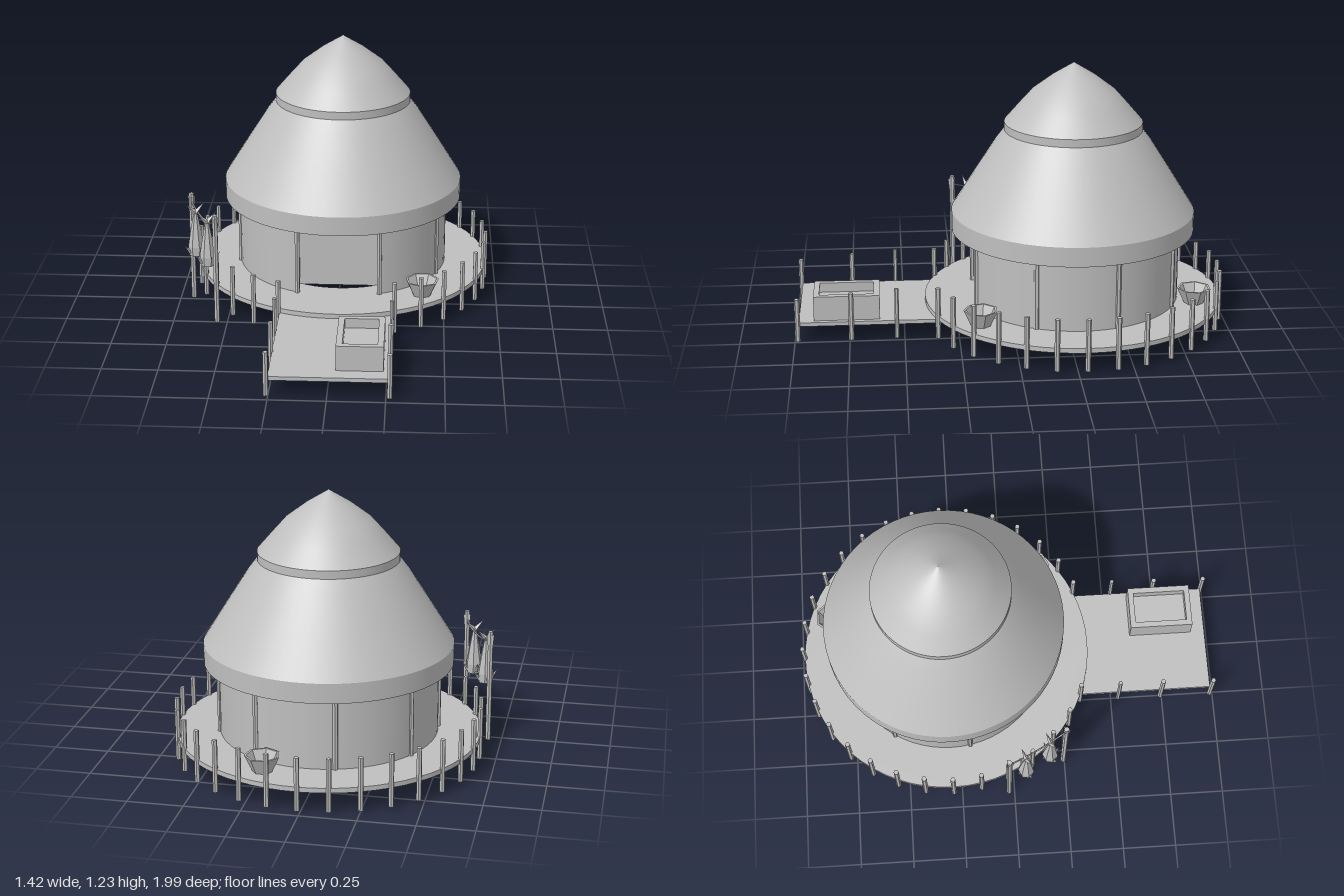
import * as THREE from 'three';

export function createModel() {
  const model = new THREE.Group();
  const grey = new THREE.MeshStandardMaterial({ color: 0xbfbfbf, side: THREE.DoubleSide });
  grey.name = 'plainGrey';

  const add = (name, geo, x = 0, y = 0, z = 0, parent = model) => {
    const mesh = new THREE.Mesh(geo, grey);
    mesh.name = name;
    mesh.position.set(x, y, z);
    parent.add(mesh);
    return mesh;
  };
  const facet = (geo) => {
    const g = geo.index ? geo.toNonIndexed() : geo;
    g.computeVertexNormals();
    return g;
  };
  const lathe = (pts, seg = 64, start = 0, len = Math.PI * 2) =>
    new THREE.LatheGeometry(pts.map(([r, y]) => new THREE.Vector2(r, y)), seg, start, len);
  const post = (name, x, z, y0, y1, r, parent) =>
    add(name, facet(new THREE.CylinderGeometry(r, r, y1 - y0, 6)), x, (y0 + y1) / 2, z, parent);
  const rad = THREE.MathUtils.degToRad;

  // Round hut
  const hut = new THREE.Group();
  hut.name = 'hut';
  hut.position.set(0.01, 0, -0.29);
  model.add(hut);

  // Ring-shaped deck
  const ring = new THREE.Shape().absarc(0, 0, 0.69, 0, Math.PI * 2);
  ring.holes.push(new THREE.Path().absarc(0, 0, 0.4, 0, Math.PI * 2, true));
  const deckGeo = new THREE.ExtrudeGeometry(ring, { depth: 0.022, bevelEnabled: false, curveSegments: 32 });
  add('deck', deckGeo.rotateX(-Math.PI / 2), 0, 0.1, 0, hut);

  // Wall with a recessed doorway at the front
  const door = rad(22.5);
  add('wall', lathe([[0.495, 0.12], [0.495, 0.5]], 56, door, Math.PI * 2 - 2 * door), 0, 0, 0, hut);
  add('doorPanel', new THREE.BoxGeometry(0.39, 0.36, 0.01), 0, 0.3, 0.355, hut);
  for (const s of [-1, 1]) add('doorJamb', new THREE.BoxGeometry(0.01, 0.36, 0.1), s * 0.19, 0.3, 0.405, hut);
  for (const deg of [-22.5, 22.5, 65.5, 108.5, 151.5, 194.5, 237.5, 280.5]) {
    const a = rad(deg);
    post('wallPost', 0.495 * Math.sin(a), 0.495 * Math.cos(a), 0.1, 0.48, 0.012, hut);
  }

  // Roof bands, kept separate for sharp rims
  add('eaveBand', lathe([[0.562, 0.45], [0.562, 0.54]]), 0, 0, 0, hut);
  add('lowerRoof', lathe([[0.562, 0.54], [0.45, 0.72], [0.36, 0.862], [0.312, 0.925]]), 0, 0, 0, hut);
  add('capUnderside', lathe([[0.317, 0.92], [0.3, 0.92]]), 0, 0, 0, hut);
  add('capBand', lathe([[0.317, 0.92], [0.317, 0.957]]), 0, 0, 0, hut);
  add('capRoof', lathe([[0.317, 0.957], [0.25, 1.035], [0.192, 1.1], [0.1, 1.17], [0, 1.232]]), 0, 0, 0, hut);

  // Railing stakes around the deck, leaving the walkway free
  for (let i = 2; i <= 30; i++) {
    const a = (i * Math.PI) / 16;
    post('deckStake', 0.69 * Math.sin(a), 0.69 * Math.cos(a), 0.015, 0.257, 0.012, hut);
  }

  // Walkway with stakes
  add('walkway', new THREE.BoxGeometry(0.51, 0.018, 0.66), 0.005, 0.091, 0.65);
  for (const s of [-1, 1]) {
    post('walkwayStake', 0.005 + s * 0.26, 0.535, 0.018, 0.257, 0.01);
    post('walkwayStake', 0.005 + s * 0.26, 0.742, 0.015, 0.24, 0.012);
    post('walkwayStake', 0.005 + s * 0.262, 0.985, 0.015, 0.218, 0.012);
  }

  // Open crate on the walkway
  const rim = new THREE.Shape([[-0.102, -0.15], [0.102, -0.15], [0.102, 0.15], [-0.102, 0.15]]
    .map(([x, y]) => new THREE.Vector2(x, y)));
  rim.holes.push(new THREE.Path([[-0.075, -0.124], [-0.075, 0.124], [0.075, 0.124], [0.075, -0.124]]
    .map(([x, y]) => new THREE.Vector2(x, y))));
  const crateGeo = new THREE.ExtrudeGeometry(rim, { depth: 0.115, bevelEnabled: false });
  add('crate', crateGeo.rotateX(-Math.PI / 2), 0.137, 0.1, 0.762);
  add('crateFloor', new THREE.BoxGeometry(0.15, 0.07, 0.248), 0.137, 0.135, 0.762);

  // Faceted bowls on the deck
  for (const [x, z] of [[0.397, 0.16], [0.19, -0.84]]) {
    add('bowl', facet(lathe([[0, 0.122], [0.045, 0.122], [0.079, 0.195], [0.069, 0.195], [0.04, 0.135], [0, 0.135]], 7)), x, 0, z);
  }

  // Drying rack with two hanging fish
  const rack = new THREE.Group();
  rack.name = 'dryingRack';
  model.add(rack);
  const ends = [[-0.688, -0.025], [-0.547, 0.245]];
  for (const [x, z] of ends) {
    post('rackPost', x, z, 0, 0.53, 0.013, rack);
    add('rackPostCap', facet(new THREE.CylinderGeometry(0.02, 0.015, 0.05, 3)), x, 0.49, z, rack);
  }
  const rope = new THREE.QuadraticBezierCurve3(
    new THREE.Vector3(ends[0][0], 0.49, ends[0][1]),
    new THREE.Vector3(-0.617, 0.425, 0.11),
    new THREE.Vector3(ends[1][0], 0.49, ends[1][1]));
  add('rope', new THREE.TubeGeometry(rope, 10, 0.004, 5), 0, 0, 0, rack);

  const cone = (name, from, to, r, parent) => {
    const a = new THREE.Vector3(...from), d = new THREE.Vector3(...to).sub(a);
    const mesh = add(name, facet(new THREE.ConeGeometry(r, d.length(), 4)), 0, 0, 0, parent);
    mesh.position.copy(a).addScaledVector(d, 0.5);
    mesh.quaternion.setFromUnitVectors(new THREE.Vector3(0, 1, 0), d.normalize());
  };
  for (const [x, z] of [[-0.66, 0.055], [-0.592, 0.172]]) {
    const fish = new THREE.Group();
    fish.name = 'hangingFish';
    fish.position.set(x, 0, z);
    fish.rotation.y = rad(28);
    rack.add(fish);
    add('fishBody', facet(lathe([[0, 0.245], [0.034, 0.255], [0.038, 0.3], [0.025, 0.38], [0.007, 0.475], [0, 0.475]], 7)), 0, 0, 0, fish);
    for (const s of [-1, 1]) {
      cone('tailFin', [0, 0.465, 0], [s * 0.045, 0.51, 0], 0.013, fish);
      cone('sideFin', [s * 0.028, 0.27, 0], [s * 0.06, 0.31, 0], 0.01, fish);
      cone('backFin', [0, 0.27, s * 0.028], [0, 0.31, s * 0.05], 0.01, fish);
    }
  }
  return model;
}
